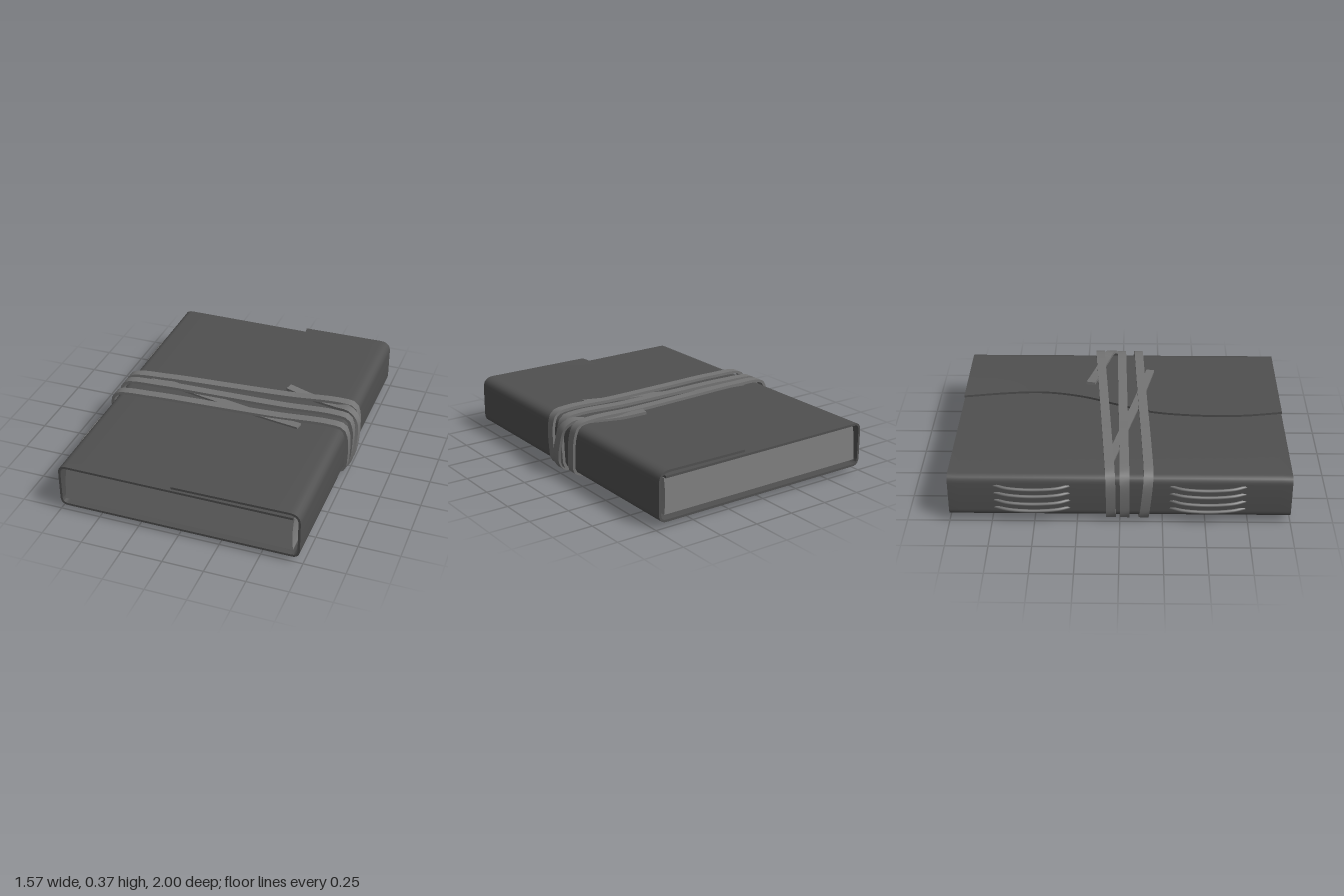
import * as THREE from 'three';
import { toCreasedNormals } from 'three/addons/utils/BufferGeometryUtils.js';

const lerp = THREE.MathUtils.lerp;
const V = (x, y, z) => new THREE.Vector3(x, y, z);
const mat = (color) => new THREE.MeshStandardMaterial({ color, side: THREE.DoubleSide });

// Solid sheet from a grid of centre points and normals, with all four rims closed
function sheet(points, normals, thickness) {
  const pos = [];
  const n = points.length - 1, m = points[0].length - 1;
  const at = (i, j, s) => points[i][j].clone().addScaledVector(normals[i][j], s * thickness / 2);
  const quad = (a, b, c, d, out) => {
    const face = c.clone().sub(a).cross(d.clone().sub(b));
    const q = face.dot(out) > 0 ? [a, b, c, a, c, d] : [a, c, b, a, d, c];
    q.forEach((p) => pos.push(p.x, p.y, p.z));
  };
  for (let i = 0; i < n; i++) {
    for (let j = 0; j < m; j++) {
      for (const s of [1, -1]) {
        quad(at(i, j, s), at(i + 1, j, s), at(i + 1, j + 1, s), at(i, j + 1, s),
          normals[i][j].clone().multiplyScalar(s));
      }
    }
    for (const [j, k] of [[0, 1], [m, m - 1]]) {
      quad(at(i, j, 1), at(i + 1, j, 1), at(i + 1, j, -1), at(i, j, -1),
        points[i][j].clone().sub(points[i][k]));
    }
  }
  for (let j = 0; j < m; j++) {
    for (const [i, k] of [[0, 1], [n, n - 1]]) {
      quad(at(i, j, 1), at(i, j + 1, 1), at(i, j + 1, -1), at(i, j, -1),
        points[i][j].clone().sub(points[k][j]));
    }
  }
  const geo = new THREE.BufferGeometry();
  geo.setAttribute('position', new THREE.Float32BufferAttribute(pos, 3));
  return toCreasedNormals(geo, 0.7);
}

// Flat thong following a smooth path
function thong(path, closed, steps, width = 0.056, thickness = 0.018) {
  const curve = new THREE.CatmullRomCurve3(path, closed, 'centripetal');
  const points = [], normals = [];
  for (let i = 0; i <= steps; i++) {
    const p = curve.getPointAt(i / steps), t = curve.getTangentAt(i / steps);
    const nrm = V(-t.y, t.x, 0).normalize();
    const side = t.clone().cross(nrm).normalize().multiplyScalar(width / 2);
    points.push([p.clone().sub(side), p.clone().add(side)]);
    normals.push([nrm, nrm]);
  }
  return sheet(points, normals, thickness);
}

// One piece of leather: front cover, spine, back cover, fore edge and wavy flap
function coverGeometry() {
  const edge = new THREE.CatmullRomCurve3([
    [0.14, -1], [0.19, -0.75], [0.21, -0.5], [0.16, -0.25], [0.05, 0],
    [-0.03, 0.2], [-0.07, 0.5], [-0.07, 0.75], [-0.04, 1],
  ].map(([x, z]) => V(x, 0, z)));
  const outline = new THREE.Path();
  outline.moveTo(0.685, 0.297);
  outline.lineTo(-0.2, 0.3);
  outline.lineTo(-0.70, 0.302);
  outline.quadraticCurveTo(-0.743, 0.302, -0.743, 0.26);
  outline.lineTo(-0.743, 0.08);
  outline.quadraticCurveTo(-0.743, 0.04, -0.70, 0.04);
  outline.lineTo(0.68, 0.04);
  outline.quadraticCurveTo(0.723, 0.04, 0.723, 0.085);
  outline.lineTo(0.723, 0.27);
  outline.quadraticCurveTo(0.723, 0.329, 0.66, 0.329);
  const base = outline.getPoints(6);
  const rows = 32, flapSteps = 6, points = [], normals = [];
  for (let r = 0; r <= rows; r++) {
    const e = edge.getPoint(r / rows), z = e.z;
    const line = base.map((p) => V(p.x, p.y, z));
    for (let k = 1; k <= flapSteps; k++) {
      const f = k / flapSteps;
      line.push(V(lerp(0.66, e.x, f), 0.329 - 0.01 * f + 0.007 * f * Math.abs(z) ** 4, z));
    }
    points.push(line);
    normals.push(line.map((p, i) => {
      const t = line[Math.min(i + 1, line.length - 1)].clone().sub(line[Math.max(i - 1, 0)]);
      return V(t.y, -t.x, 0).normalize();
    }));
  }
  return sheet(points, normals, 0.014);
}

export function createModel() {
  const model = new THREE.Group();
  const leather = mat(0x505050), strap = mat(0x747474), paper = mat(0x808080);
  const add = (name, geo, material, parent = model) => {
    const mesh = new THREE.Mesh(geo, material);
    mesh.name = name;
    parent.add(mesh);
    return mesh;
  };

  add('leatherCover', coverGeometry(), leather);

  // Page block with slanted spine edge and slightly hollow fore edge
  const block = new THREE.Shape();
  block.moveTo(-0.722, 0.07);
  block.lineTo(0.685, 0.07);
  block.quadraticCurveTo(0.672, 0.18, 0.688, 0.288);
  block.lineTo(-0.70, 0.288);
  block.quadraticCurveTo(-0.712, 0.27, -0.722, 0.07);
  const pages = new THREE.ExtrudeGeometry(block, { depth: 1.97, bevelEnabled: false, curveSegments: 6 });
  pages.translate(0, 0, -0.985);
  add('pageBlock', pages, paper);

  // Three turns of the tie; z is blended between the four corners of each turn
  const tie = new THREE.Group();
  tie.name = 'wrapTie';
  model.add(tie);
  const turn = [
    [-0.767, 0.29], [-0.735, 0.325], [-0.5, 0.343], [-0.1, 0.346], [0.3, 0.349], [0.62, 0.361],
    [0.715, 0.345], [0.743, 0.28], [0.743, 0.1], [0.738, 0.06], [0.70, 0.028], [0.3, 0.024],
    [-0.4, 0.021], [-0.7, 0.014], [-0.752, 0.045], [-0.768, 0.11],
  ];
  const turns = [
    { tl: -0.055, tr: -0.15, br: -0.11, bl: -0.05 },
    { tl: 0.028, tr: -0.005, br: -0.005, bl: 0.03 },
    { tl: 0.17, tr: 0.105, br: 0.09, bl: 0.14 },
  ];
  turns.forEach(({ tl, tr, br, bl }, i) => {
    const path = turn.map(([x, y]) => {
      const u = (x + 0.77) / 1.51, v = (y - 0.02) / 0.33;
      return V(x, y, lerp(lerp(bl, br, u), lerp(tl, tr, u), v));
    });
    add('tieTurn' + (i + 1), thong(path, true, 110), strap, tie);
  });

  // Loose ends of the tie
  const foreEnd = [
    V(0.2, 0.014, 0.05), V(0.55, 0.014, 0.04), V(0.715, 0.022, 0.03), V(0.757, 0.08, 0.02),
    V(0.772, 0.2, -0.02), V(0.757, 0.31, -0.055), V(0.70, 0.352, -0.08), V(0.6, 0.343, -0.115),
    V(0.45, 0.339, -0.155), V(0.27, 0.354, -0.2),
  ];
  add('tieForeEnd', thong(foreEnd, false, 60), strap, tie);
  const flapEnd = [
    V(-0.6, 0.328, -0.06), V(-0.4, 0.325, -0.015), V(-0.15, 0.328, 0.045),
    V(0.05, 0.333, 0.095), V(0.25, 0.337, 0.14), V(0.46, 0.345, 0.185),
  ];
  add('tieFlapEnd', thong(flapEnd, false, 24, 0.052, 0.012), strap, tie);

  // Binding threads bowed out along the spine
  for (const side of [-1, 1]) {
    const stitches = new THREE.Group();
    stitches.name = side > 0 ? 'frontSpineStitches' : 'backSpineStitches';
    model.add(stitches);
    [0.095, 0.145, 0.195, 0.245].forEach((y, i) => {
      const bow = 0.772 + 0.004 * (i % 2);
      const path = [
        V(-0.74, y, 0.29), V(-bow + 0.008, y - 0.004, 0.36), V(-bow, y - 0.01, 0.51),
        V(-bow + 0.008, y - 0.004, 0.66), V(-0.74, y, 0.735),
      ].map((p) => V(p.x, p.y, p.z * side));
      add('spineStitch' + (i + 1),
        new THREE.TubeGeometry(new THREE.CatmullRomCurve3(path), 24, 0.01, 8), strap, stitches);
    });
  }
  return model;
}
